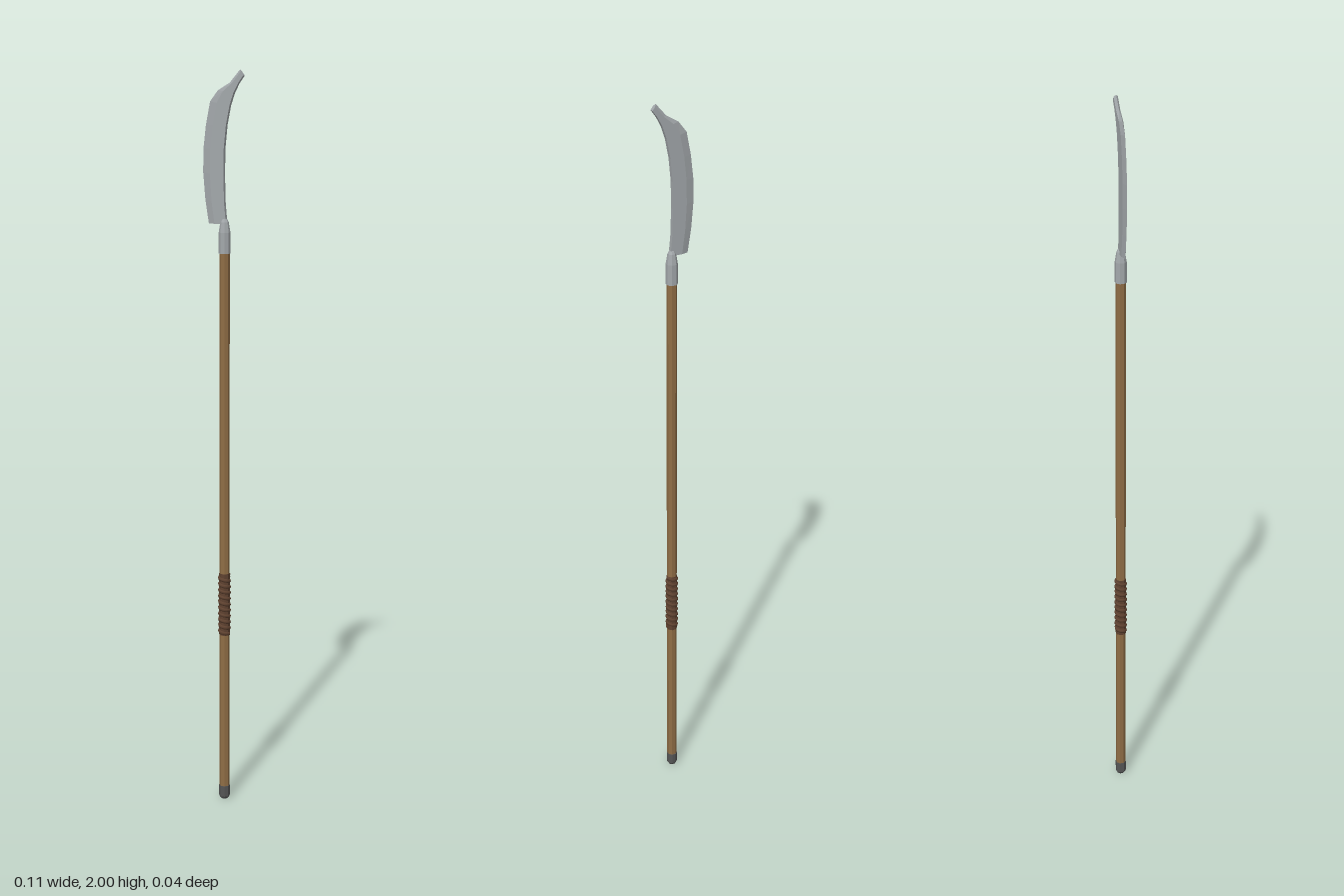
import * as THREE from 'three';

const AXIS_X = 0.003; // the pole stands slightly off centre under the blade

const WOOD = 0x8f6d45, LEATHER = 0x5f4230, STEEL = 0xa3a8ab, IRON = 0x555555;

function material(color, extra = {}) {
  return new THREE.MeshStandardMaterial({ color, ...extra });
}

// Turned part: [radius, y] pairs around the pole axis
function turned(name, profile, color, sides = 8) {
  const points = profile.map(([r, y]) => new THREE.Vector2(r, y));
  const mesh = new THREE.Mesh(
    new THREE.LatheGeometry(points, sides, Math.PI / sides),
    material(color, { flatShading: true })
  );
  mesh.name = name;
  mesh.position.x = AXIS_X;
  return mesh;
}

// Curved blade lofted through five-sided sections: sharp edge, bevels, flat spine
function makeBlade() {
  // cutting edge x, y, then spine x, y
  const stations = [
    [-0.042, 1.607, 0.009, 1.607],
    [-0.052, 1.67, 0.004, 1.66],
    [-0.058, 1.74, 0.002, 1.73],
    [-0.057, 1.80, 0.003, 1.80],
    [-0.050, 1.86, 0.009, 1.86],
    [-0.038, 1.92, 0.019, 1.91],
    [-0.016, 1.948, 0.030, 1.942],
    [0.018, 1.968, 0.043, 1.966],
    [0.046, 2.0, 0.057, 1.985],
  ];
  const half = 0.0055;
  const rings = stations.map(([ex, ey, sx, sy]) => {
    const t = 0.36;
    const bx = ex + (sx - ex) * t, by = ey + (sy - ey) * t;
    return [[ex, ey, 0], [bx, by, half], [sx, sy, half], [sx, sy, -half], [bx, by, -half]];
  });
  const positions = [];
  const tri = (a, b, c) => positions.push(...a, ...b, ...c);
  for (let i = 0; i < rings.length - 1; i++) {
    for (let j = 0; j < 5; j++) {
      const k = (j + 1) % 5;
      const lo = rings[i], hi = rings[i + 1];
      tri(lo[j], lo[k], hi[k]);
      tri(lo[j], hi[k], hi[j]);
    }
  }
  // end caps
  const bottom = rings[0], top = rings[rings.length - 1];
  for (let j = 1; j < 4; j++) {
    tri(bottom[0], bottom[j + 1], bottom[j]);
    tri(top[0], top[j], top[j + 1]);
  }
  const geometry = new THREE.BufferGeometry();
  geometry.setAttribute('position', new THREE.Float32BufferAttribute(positions, 3));
  geometry.computeVertexNormals();
  const mesh = new THREE.Mesh(geometry, material(STEEL, { flatShading: true }));
  mesh.name = 'blade';
  return mesh;
}

// Cord wound around the pole
function makeGrip() {
  const y0 = 0.486, y1 = 0.654, turns = 10, steps = 100;
  const points = [];
  for (let i = 0; i <= steps; i++) {
    const t = i / steps, a = t * turns * Math.PI * 2;
    points.push(new THREE.Vector3(
      Math.cos(a) * 0.0125, y0 + (y1 - y0) * t, Math.sin(a) * 0.0125));
  }
  const curve = new THREE.CatmullRomCurve3(points);
  const cord = new THREE.Mesh(new THREE.TubeGeometry(curve, 160, 0.0055, 6), material(LEATHER));
  cord.name = 'gripCord';
  cord.position.x = AXIS_X;
  const grip = new THREE.Group();
  grip.name = 'grip';
  grip.add(cord, turned('gripLining', [[0, 0.482], [0.0145, 0.482], [0.0145, 0.658], [0, 0.658]], LEATHER));
  return grip;
}

export function createModel() {
  const model = new THREE.Group();
  model.name = 'glaive';
  model.add(
    turned('shaft', [[0, 0.03], [0.0138, 0.03], [0.0138, 1.54], [0, 1.54]], WOOD),
    turned('buttCap', [[0, 0], [0.011, 0], [0.015, 0.007], [0.015, 0.038], [0, 0.038]], IRON),
    turned('socket',
      [[0, 1.53], [0.0155, 1.53], [0.0155, 1.585], [0.011, 1.612], [0.007, 1.62], [0, 1.62]], STEEL),
    makeGrip(),
    makeBlade()
  );
  return model;
}
